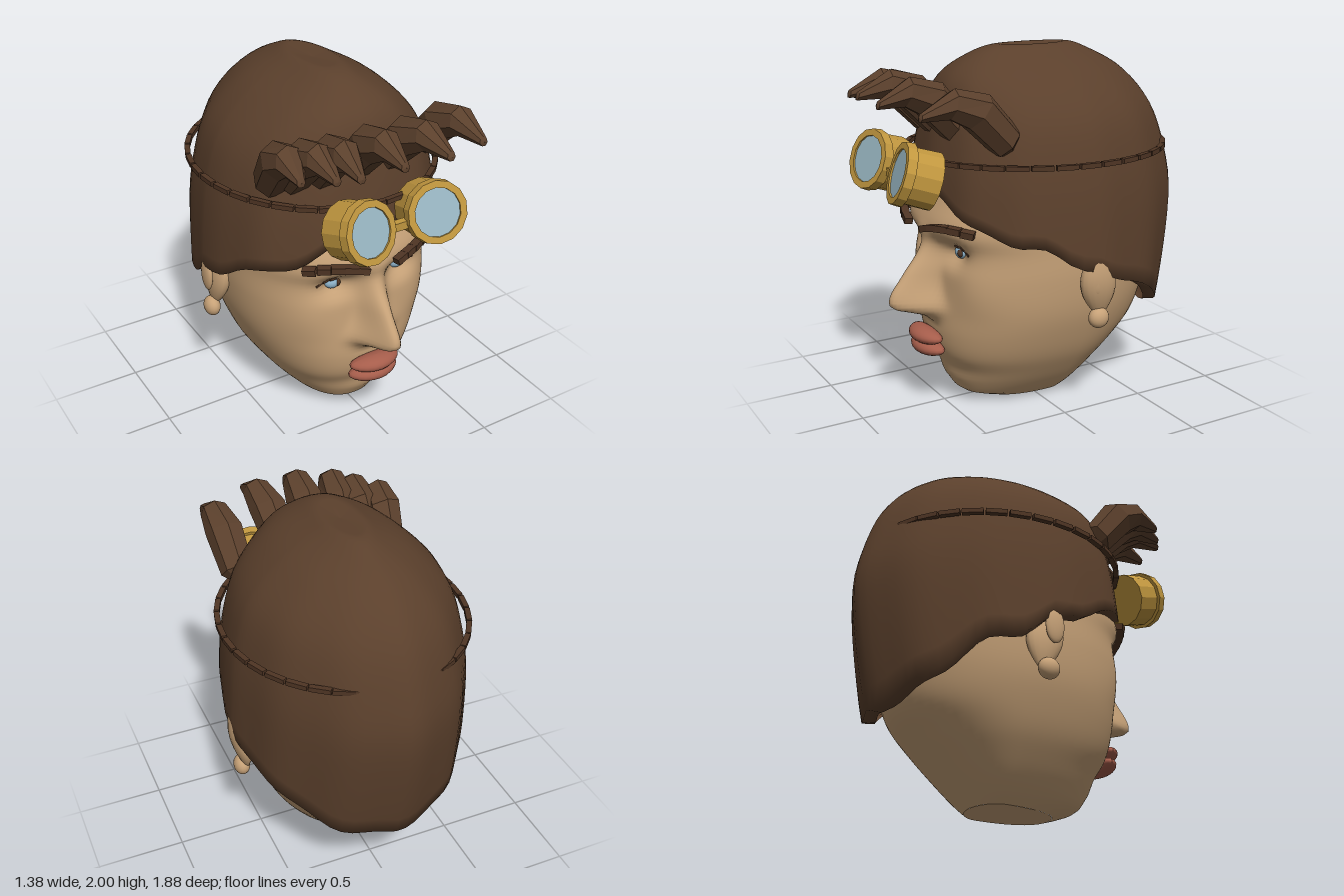
import * as THREE from 'three';

const mat = (name, color, side = THREE.FrontSide) => {
  const m = new THREE.MeshStandardMaterial({ color, side });
  m.name = name;
  return m;
};

// Smooth lookup in a table whose first column is the key
function table(rows) {
  const n = rows[0].length - 1;
  const f = new THREE.CubicInterpolant(rows.map(r => r[0]), rows.flatMap(r => r.slice(1)), n, new Float32Array(n));
  return k => Array.from(f.evaluate(Math.min(Math.max(k, rows[0][0]), rows[rows.length - 1][0])));
}

// Closed loops of points stacked upwards
function loft(rows, cols, point) {
  const pos = [], idx = [];
  for (let i = 0; i < rows; i++) for (let j = 0; j < cols; j++) pos.push(...point(i, j));
  for (let i = 0; i < rows - 1; i++) for (let j = 0; j < cols; j++) {
    const k = (j + 1) % cols, a = i * cols, b = a + cols;
    idx.push(a + j, a + k, b + k, a + j, b + k, b + j);
  }
  const g = new THREE.BufferGeometry();
  g.setAttribute('position', new THREE.Float32BufferAttribute(pos, 3));
  g.setIndex(idx);
  g.computeVertexNormals();
  return g;
}

const facet = g => {
  const f = g.toNonIndexed();
  f.computeVertexNormals();
  return f;
};

// Egg-shaped section: squarer at the front, rounder or more pointed at the back
const ZC = -0.1;
function section(a, w, zf, zb, back = 2) {
  const s = Math.sin(a), n = Math.cos(a) > 0 ? 2.4 : back;
  const z = Math.pow(Math.max(0, 1 - Math.abs(s) ** n), 1 / n);
  return [w * s, ZC + z * ((Math.cos(a) > 0 ? zf : zb) - ZC)];
}

const bump = (x, s) => Math.exp(-((x / s) ** 2));

export function createModel() {
  const root = new THREE.Group();
  const skin = mat('skin', 0xc7a278);
  const hairMat = mat('hair brown', 0x5b402c, THREE.DoubleSide);
  const dark = mat('dark brown', 0x4f3524);
  const gold = mat('brass', 0xc1973f);
  const glass = mat('lens glass', 0x9ab8c4);
  const lipMat = mat('lip red', 0xa65d4b);
  const blue = mat('eye blue', 0x8fb4cb);
  const add = (name, geo, m, p = [0, 0, 0], s = [1, 1, 1], parent = root) => {
    const mesh = new THREE.Mesh(geo, m);
    mesh.name = name;
    mesh.position.set(...p);
    mesh.scale.set(...s);
    parent.add(mesh);
    return mesh;
  };
  const ball = new THREE.SphereGeometry(1, 20, 14);

  // Head: y, half width, front z, back z
  const headAt = table([
    [0, .175, .25, -.24], [.05, .235, .39, -.29], [.12, .30, .44, -.36], [.22, .375, .48, -.46],
    [.32, .44, .54, -.56], [.45, .5, .57, -.68], [.6, .55, .57, -.74], [.8, .58, .56, -.78],
    [.95, .585, .57, -.8], [1.05, .585, .61, -.8], [1.2, .575, .56, -.8], [1.5, .45, .42, -.65]]);
  const noseAt = table([[.5, 0], [.55, .07], [.6, .225], [.65, .25], [.78, .175], [.9, .08], [.98, .03], [1.08, 0]]);
  const COLS = 96, ROWS = 64;
  add('head', loft(ROWS, COLS, (i, j) => {
    const u = j / COLS * 2 * Math.PI - Math.PI;
    const y = 1.5 * i / (ROWS - 1);
    const a = u - .65 * Math.sin(u);
    let [x, z] = section(a, ...headAt(y));
    if (Math.cos(a) > 0) {
      z += noseAt(y)[0] * Math.exp(-(Math.abs(x / (.07 + .035 * bump(y - .58, .1))) ** 2.4));
      z -= .07 * bump(Math.abs(x) - .2, .1) * bump(y - .93, .07);
      z += .03 * bump(Math.abs(x) - .38, .14) * bump(y - .76, .16);
      z += .02 * bump(x, .14) * bump(y - .17, .07);
    }
    return [x, y, z];
  }), skin);
  add('neckCap', loft(2, 32, (i, j) => {
    const [x, z] = section(j / 32 * 2 * Math.PI, .175, .25, -.24);
    return i ? [x, 0, z] : [0, 0, 0];
  }), skin);

  // Hair cap: sqrt of depth below the crown, half width, front z, back z
  const hairAt = table([
    [0, .08, .13, -.28], [.2, .175, .29, -.42], [.4, .37, .45, -.64], [.6, .545, .52, -.81],
    [.8, .63, .575, -.91], [.9, .655, .59, -.94], [1, .67, .6, -.93], [1.2, .688, .6, -.85], [1.26, .688, .6, -.81]]);
  // Hairline: angle from the front, height
  const hairline = table([
    [0, 1.25], [.3, 1.22], [.67, 1.1], [.98, 1.04], [1.2, 1.01], [1.43, .9], [1.57, .87],
    [1.82, .77], [2.1, .72], [2.45, .57], [2.8, .47], [3.15, .44]]);
  const HR = 30, HC = 72;
  add('hair', loft(HR, HC, (i, j) => {
    const a = j / HC * 2 * Math.PI - Math.PI;
    const base = hairline(Math.abs(a))[0] + .012 * Math.sin(11 * a);
    if (i === HR - 1) return [0, 1.985, -.06];
    const s = Math.sqrt(2 - base) * (1 - Math.max(0, i - 1) / (HR - 3));
    const [x, z] = section(a, ...hairAt(s), 1.8);
    const k = (i === 0 ? .9 : 1) * (1 + .009 * Math.sin(12 * a + 1) * s);
    return [x * k, 2 - s * s, ZC + (z - ZC) * k];
  }), hairMat);

  // Raised fringe locks: base x, tip x, base z, tip z, tip height
  const locks = [
    [-.47, -.52, .30, .71, 1.71], [-.38, -.39, .36, .82, 1.73], [-.25, -.30, .42, .89, 1.75],
    [-.07, -.08, .45, .93, 1.77], [.13, .19, .44, .93, 1.76], [.44, .47, .32, .83, 1.73]];
  const radii = [.025, .095, .108, .08, .025, .001];
  const lift = [-.22, -.17, 0, .05, 0, 0], along = [-.03, .03, .36, .65, .985, 1];
  locks.forEach(([x0, x1, z0, z1, y1]) => {
    add('fringeLock', facet(loft(6, 7, (i, j) => {
      const t = along[i], a = j / 7 * 2 * Math.PI, r = radii[i];
      const tilt = i < 3 ? .85 : 1.3;
      const d = -Math.cos(a) * r;
      return [x0 + (x1 - x0) * t + Math.sin(a) * r, y1 + lift[i] + Math.sin(tilt) * -d,
        z0 + (z1 - z0) * t + Math.cos(tilt) * d];
    })), hairMat);
  });

  // Goggle strap of short links around the head
  const LINKS = 36;
  for (let i = 0; i < LINKS; i++) {
    const a = (i + .5) / LINKS * 2 * Math.PI;
    const link = add('strapLink', new THREE.BoxGeometry(.115, .026, .03), dark,
      [.005 + .666 * Math.sin(a), 1.44, -.095 + .74 * Math.cos(a)]);
    link.rotation.y = Math.atan2(.74 * Math.sin(a), .666 * Math.cos(a));
  }

  // Goggles
  const cup = facet(new THREE.LatheGeometry(
    [[0, -.2], [.155, -.2], [.15, -.05], [.17, -.05], [.165, 0], [.128, 0], [.128, -.02]]
      .map(p => new THREE.Vector2(...p)), 14).rotateX(Math.PI / 2));
  add('goggleBridge', new THREE.BoxGeometry(.16, .045, .04), gold, [0, 1.36, .77]);

  for (const s of [1, -1]) {
    const goggle = new THREE.Group();
    goggle.name = s > 0 ? 'leftGoggle' : 'rightGoggle';
    goggle.position.set(s * .2, 1.408, .835);
    goggle.rotation.set(-.31, -s * .19, 0, 'YXZ');
    root.add(goggle);
    add('cup', cup, gold, [0, 0, 0], [1, 1, 1], goggle);
    add('lens', new THREE.CircleGeometry(.135, 24), glass, [0, 0, -.01], [1, 1, 1], goggle);

    // Eye with pupil and lash
    add('eye', ball, blue, [s * .205, .935, .478], [.045, .036, .035]);
    add('pupil', ball, dark, [s * .205 + .022, .935, .498], [.018, .022, .016]);
    for (let i = 0; i < 3; i++) {
      const lash = add('lash', new THREE.BoxGeometry(.042, .012, .03), dark,
        [s * (.215 + .038 * i), .972 - .006 * i * i, .5 - .01 * i]);
      lash.rotation.z = -s * .22 * i;
    }

    // Eyebrow in five links
    for (let i = 0; i < 5; i++) {
      const t = i / 4;
      const brow = add('eyebrow', new THREE.BoxGeometry(.072, .036, .045), dark,
        [s * (.12 + .25 * t), 1.068 + .075 * t - .065 * t * t, .645 - .04 * t - .08 * t * t]);
      brow.rotation.set(0, s * (.2 + .6 * t), s * (.28 - .5 * t), 'ZYX');
    }

    // Ear with inner fold and lobe
    const ear = loft(16, 18, (i, j) => {
      const t = i / 15, a = j / 18 * 2 * Math.PI;
      const r = Math.max(0, Math.sin(Math.PI * t)) ** .85;
      return [.056 * r * Math.sin(a) + .045 * t, -.21 + .41 * t, .108 * r * Math.cos(a) + .06 * (t - .5)];
    });
    add('ear', ear, skin, [s * .61, .785, -.115]).scale.x = 1;
    add('earFold', ball, skin, [s * .665, .82, -.1], [.024, .1, .055]);
    add('earLobe', ball, skin, [s * .635, .587, -.122], [.046, .058, .06]);
  }

  // Lips, curved back towards the corners
  const lip = (name, y, z, ry) => {
    const g = new THREE.SphereGeometry(1, 20, 12).scale(.155, ry, .07);
    const p = g.attributes.position;
    for (let i = 0; i < p.count; i++) p.setZ(i, p.getZ(i) - 1.1 * p.getX(i) ** 2);
    g.computeVertexNormals();
    add(name, g, lipMat, [0, y, z]);
  };
  lip('upperLip', .426, .622, .044);
  lip('lowerLip', .358, .61, .046);

  return root;
}
